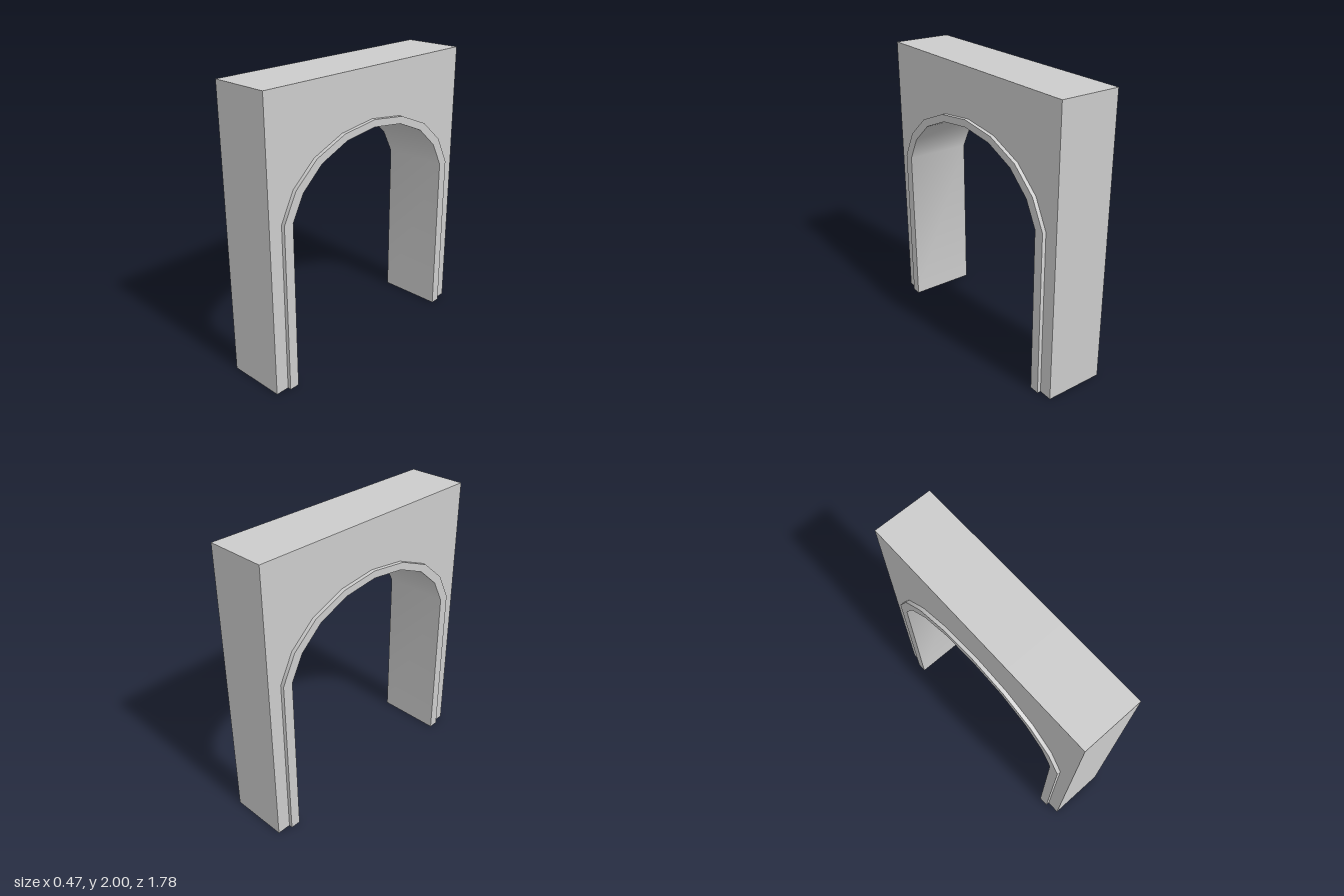
import * as THREE from 'three';
import { toCreasedNormals } from 'three/addons/utils/BufferGeometryUtils.js';

const WALL = 0.209; // half thickness of the wall
const TRIM = 0.235; // half thickness at the raised arch trim

// Half profiles as [z, y], from the front foot up to the crown.
const mirror = half => [...half, ...half.slice(0, -1).reverse().map(([z, y]) => [-z, y])];
const opening = mirror([[0.725, 0], [0.725, 1.17], [0.637, 1.34], [0.475, 1.485], [0.255, 1.578], [0, 1.61]]);
const trimEdge = mirror([[0.795, 0], [0.795, 1.175], [0.695, 1.37], [0.518, 1.525], [0.275, 1.625], [0, 1.66]]);
const outline = mirror([[0.89, 0], [0.89, 1.175], [0.89, 1.37], [0.89, 2], [0.275, 2], [0, 2]]);

const material = new THREE.MeshStandardMaterial({ color: 0xcccccc, side: THREE.DoubleSide });

// Strip of quads between path a at x = xa and path b at x = xb.
function strip(name, a, xa, b, xb) {
  const positions = [];
  const index = [];
  a.forEach(([z, y], i) => {
    positions.push(xa, y, z, xb, b[i][1], b[i][0]);
    if (i > 0) {
      const k = 2 * (i - 1);
      index.push(k, k + 2, k + 1, k + 1, k + 2, k + 3);
    }
  });
  const geometry = new THREE.BufferGeometry();
  geometry.setAttribute('position', new THREE.Float32BufferAttribute(positions, 3));
  geometry.setIndex(index);
  const mesh = new THREE.Mesh(toCreasedNormals(geometry, 0.65), material);
  mesh.name = name;
  return mesh;
}

export function createModel() {
  const group = new THREE.Group();
  group.name = 'archway';

  // Outer ends and top, then the underside of the arch; the feet stay open
  group.add(strip('outerWall', outline, WALL, outline, -WALL));
  group.add(strip('archSoffit', opening, -TRIM, opening, TRIM));

  // Left side: wall face, trim step and trim face
  group.add(strip('leftWallFace', trimEdge, WALL, outline, WALL));
  group.add(strip('leftTrimStep', trimEdge, TRIM, trimEdge, WALL));
  group.add(strip('leftTrimFace', opening, TRIM, trimEdge, TRIM));

  // Right side, with the paths swapped to face outward
  group.add(strip('rightWallFace', outline, -WALL, trimEdge, -WALL));
  group.add(strip('rightTrimStep', trimEdge, -WALL, trimEdge, -TRIM));
  group.add(strip('rightTrimFace', trimEdge, -TRIM, opening, -TRIM));

  return group;
}
